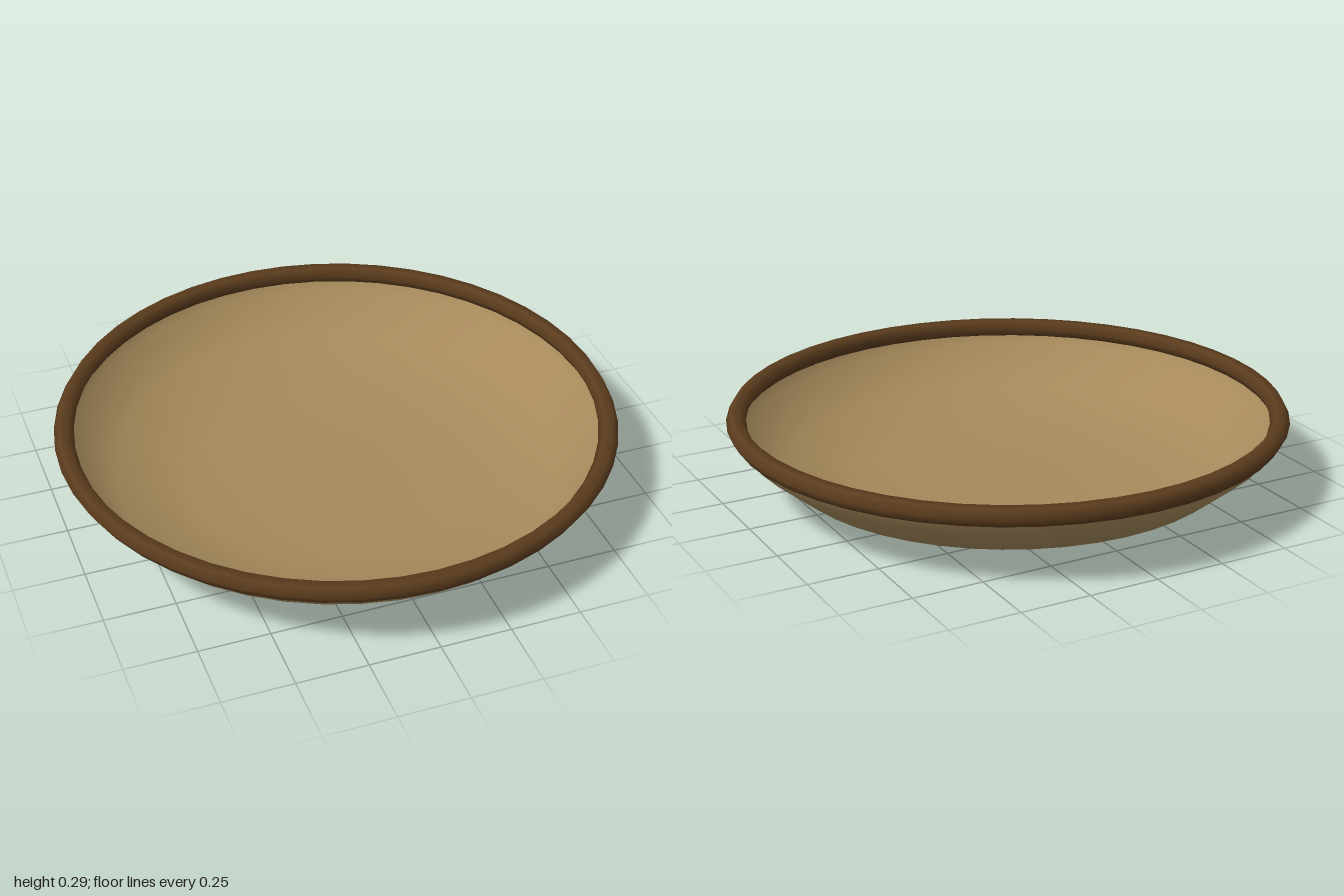
import * as THREE from 'three';

export function createModel() {
  const group = new THREE.Group();
  const clay = new THREE.MeshStandardMaterial({ color: 0xa68a5b, side: THREE.DoubleSide });
  clay.name = 'tan dish';
  const brown = new THREE.MeshStandardMaterial({ color: 0x5c3d1e });
  brown.name = 'brown rim';

  // Shallow open dish, thin walled
  const profile = [[0, 0], [0.22, 0], [0.53, 0.008], [0.8, 0.068], [0.945, 0.187], [0.972, 0.25]];
  const dish = new THREE.Mesh(
    new THREE.LatheGeometry(profile.map(([r, y]) => new THREE.Vector2(r, y)), 48),
    clay
  );
  dish.name = 'dish';
  group.add(dish);

  // Rolled rim around the lip
  const rimGeometry = new THREE.TorusGeometry(0.965, 0.035, 6, 48);
  rimGeometry.rotateX(Math.PI / 2);
  const rim = new THREE.Mesh(rimGeometry, brown);
  rim.name = 'rim';
  rim.position.y = 0.257;
  group.add(rim);

  return group;
}
